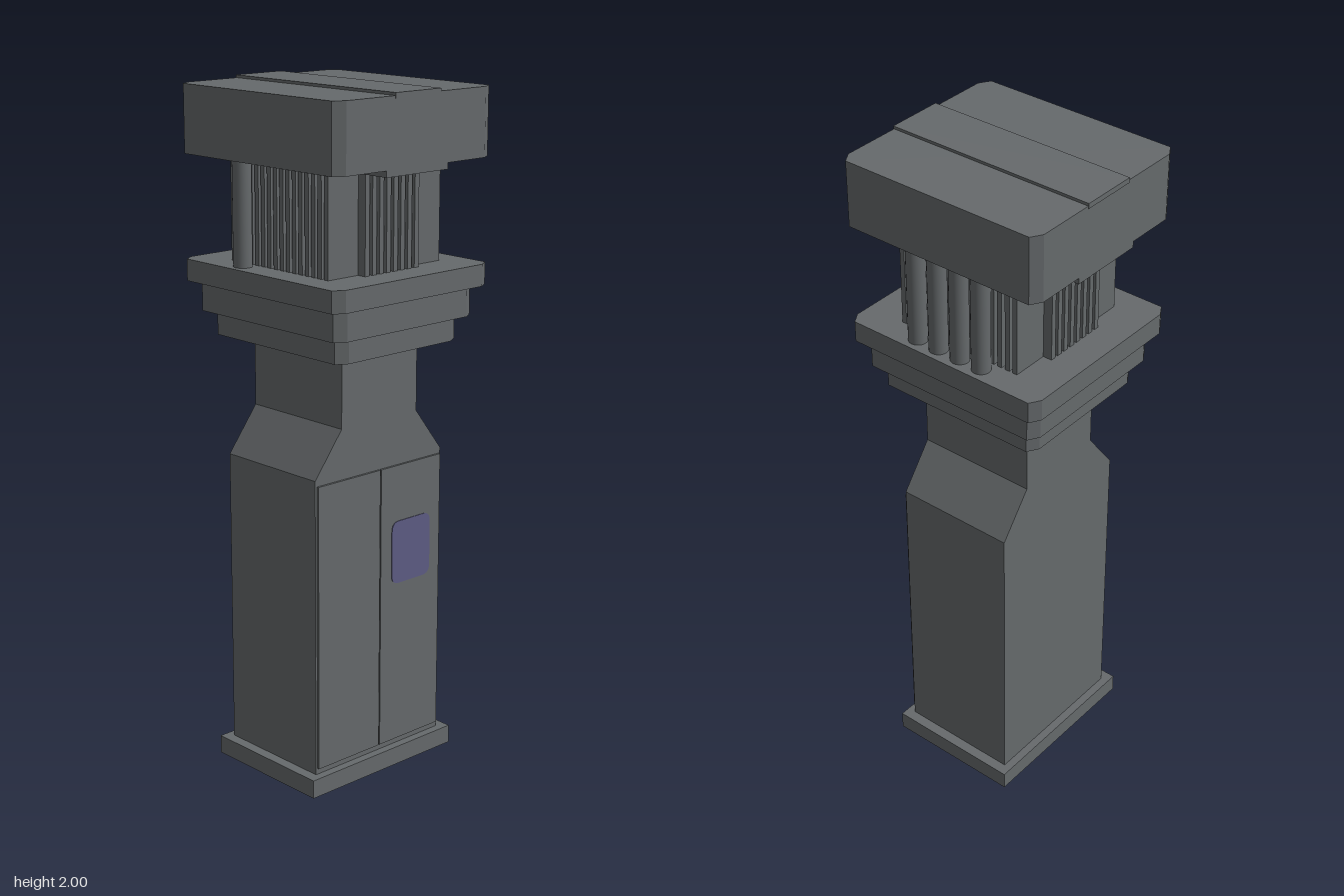
import * as THREE from 'three';

export function createModel() {
  const model = new THREE.Group();
  model.name = 'columnUnit';
  const grey = new THREE.MeshStandardMaterial({ color: 0x666a6c });
  grey.name = 'slateGrey';
  const violet = new THREE.MeshStandardMaterial({ color: 0x5e5c84 });
  violet.name = 'mutedViolet';

  const add = (name, geometry, material = grey, parent = model) => {
    const mesh = new THREE.Mesh(geometry, material);
    mesh.name = name;
    parent.add(mesh);
    return mesh;
  };
  // Box given by its limits on each axis
  const block = (name, [x0, x1], [y0, y1], [z0, z1], parent = model) => {
    const mesh = add(name, new THREE.BoxGeometry(x1 - x0, y1 - y0, z1 - z0), grey, parent);
    mesh.position.set((x0 + x1) / 2, (y0 + y1) / 2, (z0 + z1) / 2);
    return mesh;
  };
  // Upright slab with cut corners, from half width and half depth
  const slab = (name, hx, hz, y0, y1, cx = 0.02, cz = 0.033) => {
    const pts = [
      [hx, -hz + cz], [hx, hz - cz], [hx - cx, hz], [-hx + cx, hz],
      [-hx, hz - cz], [-hx, -hz + cz], [-hx + cx, -hz], [hx - cx, -hz],
    ].map(([x, y]) => new THREE.Vector2(x, y));
    const g = new THREE.ExtrudeGeometry(new THREE.Shape(pts), { depth: y1 - y0, bevelEnabled: false });
    g.rotateX(-Math.PI / 2);
    g.translate(0, y0, 0);
    return add(name, g);
  };

  // Foot plate
  block('footPlate', [-0.208, 0.208], [0, 0.055], [-0.278, 0.278]);

  // Cabinet with sloped shoulders and a narrower neck
  const outline = [
    [-0.246, 0.055], [0.246, 0.055], [0.246, 0.94], [0.146, 1.07],
    [0.146, 1.28], [-0.146, 1.28], [-0.146, 1.07], [-0.246, 0.94],
  ].map(([z, y]) => new THREE.Vector2(z, y));
  const bodyGeo = new THREE.ExtrudeGeometry(new THREE.Shape(outline), { depth: 0.366, bevelEnabled: false });
  bodyGeo.translate(0, 0, -0.183);
  bodyGeo.rotateY(-Math.PI / 2);
  add('cabinetBody', bodyGeo);

  // Pair of doors on the left side
  for (const s of [-1, 1]) {
    const a = s * 0.002, b = s * 0.24;
    block('door', [0.183, 0.19], [0.073, 0.923], [Math.min(a, b), Math.max(a, b)]);
  }

  // Rounded panel on the rear door
  const r = 0.028, hw = 0.077, hh = 0.095;
  const plate = new THREE.Shape();
  plate.moveTo(-hw + r, -hh);
  plate.lineTo(hw - r, -hh);
  plate.quadraticCurveTo(hw, -hh, hw, -hh + r);
  plate.lineTo(hw, hh - r);
  plate.quadraticCurveTo(hw, hh, hw - r, hh);
  plate.lineTo(-hw + r, hh);
  plate.quadraticCurveTo(-hw, hh, -hw, hh - r);
  plate.lineTo(-hw, -hh + r);
  plate.quadraticCurveTo(-hw, -hh, -hw + r, -hh);
  const panel = add('doorPanel', new THREE.ExtrudeGeometry(plate, { depth: 0.002, bevelEnabled: false }), violet);
  panel.rotation.y = Math.PI / 2;
  panel.position.set(0.19, 0.66, -0.122);

  // Stepped collar
  slab('lowerCollar', 0.266, 0.231, 1.28, 1.35);
  slab('middleCollar', 0.294, 0.263, 1.35, 1.437);
  slab('upperCollar', 0.322, 0.294, 1.437, 1.5);

  // Finned core
  const core = new THREE.Group();
  core.name = 'finnedCore';
  model.add(core);
  const span = [1.5, 1.78];
  block('coreBlock', [-0.2, 0.2], span, [-0.195, 0.195], core);
  for (const s of [-1, 1]) {
    for (let i = 0; i < 16; i++) {
      const x = -0.1925 + (i * 0.385) / 15;
      const z = s * 0.203;
      block('faceFin', [x - 0.0075, x + 0.0075], span, [z - 0.01, z + 0.01], core);
    }
    for (let i = 0; i < 8; i++) {
      const z = -0.094 + (i * 0.188) / 7;
      const x = s * 0.213;
      block('sideFin', [x - 0.015, x + 0.015], span, [z - 0.008, z + 0.008], core);
    }
  }

  // Support rods: one in front, four behind
  const rodGeo = new THREE.CylinderGeometry(0.027, 0.027, 0.31, 24);
  for (const [x, z] of [[-0.107, 0.251], [-0.11, -0.251], [-0.037, -0.251], [0.037, -0.251], [0.11, -0.251]]) {
    add('supportRod', rodGeo).position.set(x, 1.65, z);
  }

  // Cap with raised strip on top and a lower rail beneath
  slab('cap', 0.322, 0.294, 1.798, 1.992);
  block('capRail', [-0.322, 0.322], [1.78, 1.8], [-0.116, 0.116]);
  block('capStrip', [-0.324, 0.324], [1.985, 2], [-0.085, 0.085]);

  return model;
}
